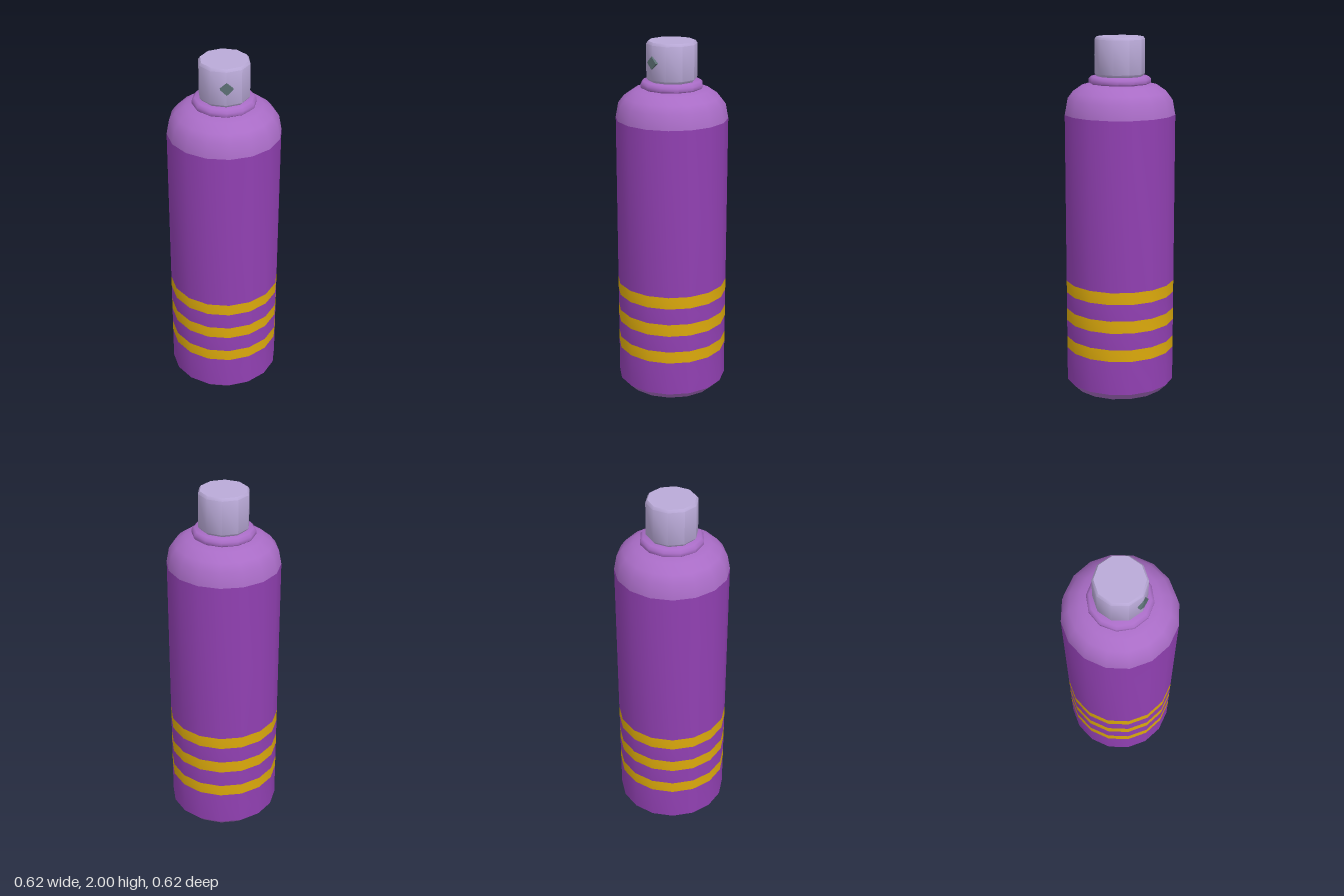
import * as THREE from 'three';
import { toCreasedNormals } from 'three/addons/utils/BufferGeometryUtils.js';

const material = (name, color) => {
  const m = new THREE.MeshStandardMaterial({ color });
  m.name = name;
  return m;
};

export function createModel() {
  const group = new THREE.Group();
  const purple = material('deep purple', 0x9140b2);
  const lilac = material('lilac', 0xa96cc6);
  const pale = material('pale lavender', 0xbaaad8);
  const gold = material('gold', 0xdba90c);
  const slate = material('slate grey', 0x5c7074);

  // Turned part from [radius, height] points, bottom to top
  const turned = (name, points, sides, mat, crease = 0.75) => {
    const profile = points.map(([r, y]) => new THREE.Vector2(r, y));
    const geometry = toCreasedNormals(new THREE.LatheGeometry(profile, sides), crease);
    const mesh = new THREE.Mesh(geometry, mat);
    mesh.name = name;
    group.add(mesh);
  };

  const R = 0.308;

  // Base disc with chamfered rim
  turned('base', [[0, 0], [0.262, 0], [R, 0.045]], 16, lilac);

  // Can wall, split into flush purple and gold bands
  const levels = [0.045, 0.24, 0.308, 0.405, 0.475, 0.57, 0.638, 1.58];
  for (let i = 0; i < levels.length - 1; i++) {
    const striped = i % 2 === 1;
    turned(striped ? 'stripe' : 'canWall', [[R, levels[i]], [R, levels[i + 1]]], 16, striped ? gold : purple);
  }

  // Rounded shoulder
  turned('shoulder', [[R, 1.58], [0.293, 1.66], [0.262, 1.7], [0.208, 1.737], [0.15, 1.748], [0, 1.748]], 16, lilac);

  // Collar ring
  turned('collar', [[0.15, 1.735], [0.171, 1.752], [0.171, 1.772], [0.157, 1.786], [0, 1.786]], 12, lilac, 0.9);

  // Spray cap with softened rims
  turned('sprayCap', [[0, 1.786], [0.126, 1.786], [0.138, 1.8], [0.138, 1.986], [0.128, 2], [0, 2]], 10, pale);

  // Four-sided nozzle on the front of the cap
  const nozzleShape = new THREE.CylinderGeometry(0.035, 0.035, 0.034, 4).rotateX(Math.PI / 2);
  const nozzle = new THREE.Mesh(toCreasedNormals(nozzleShape, 0.5), slate);
  nozzle.name = 'nozzle';
  nozzle.position.set(0, 1.895, 0.128);
  group.add(nozzle);

  return group;
}
